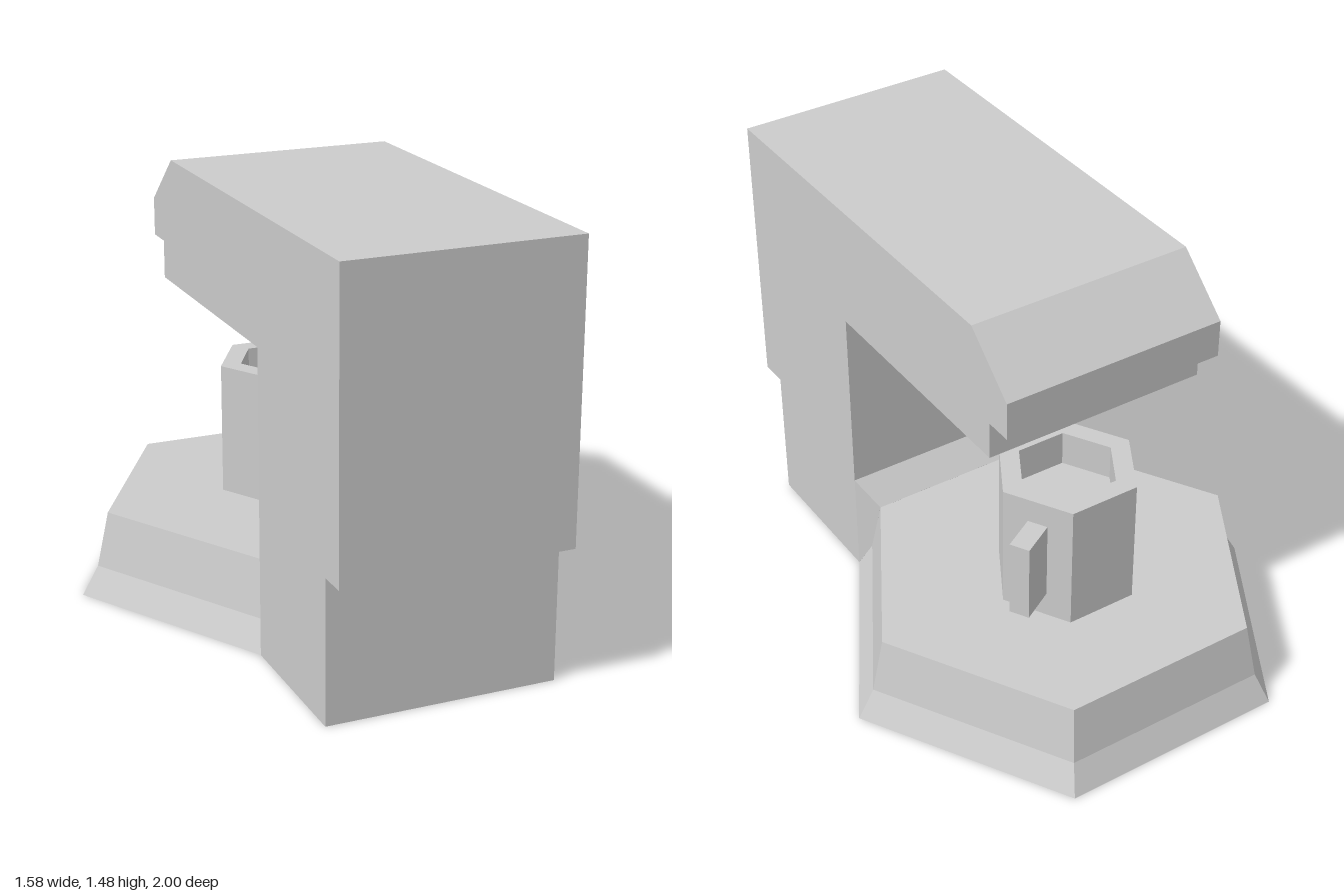
import * as THREE from 'three';
import { ConvexGeometry } from 'three/addons/geometries/ConvexGeometry.js';

const material = new THREE.MeshStandardMaterial({ color: 0xcccccc, flatShading: true });
const vec2 = ([x, y]) => new THREE.Vector2(x, y);

function add(parent, name, geometry) {
  const mesh = new THREE.Mesh(geometry, material);
  mesh.name = name;
  parent.add(mesh);
  return mesh;
}

// Six-sided turned solid with corners on the x axis
const hexLathe = (profile) => new THREE.LatheGeometry(profile.map(vec2), 6, Math.PI / 2);

export function createModel() {
  const model = new THREE.Group();
  model.name = 'coffeeMachine';
  const halfWidth = 0.394;

  // Column and overhanging head: one side profile (z, y) extruded across x
  const side = new THREE.Shape([
    [0.9, 0], [0.9, 0.49], [1, 0.49], [1, 1.48], [-0.415, 1.48], [-0.605, 1.31],
    [-0.605, 1.18], [-0.51, 1.18], [-0.51, 1.05], [0.367, 1.05], [0.367, 0],
  ].map(vec2));
  const body = new THREE.ExtrudeGeometry(side, { depth: halfWidth * 2, bevelEnabled: false });
  body.translate(0, 0, -halfWidth).rotateY(-Math.PI / 2);
  add(model, 'body', body);

  // Hexagonal base with flared foot
  const base = add(model, 'base', hexLathe([[0, 0], [0.788, 0], [0.73, 0.1], [0.688, 0.292], [0, 0.292]]));
  base.position.z = -0.316;

  // Sloped sill joining base and column
  const sill = [];
  for (const s of [-1, 1]) {
    for (const [x, y, z] of [[0.344, 0.292, 0.28], [0.365, 0.1, 0.316], [halfWidth, 0, 0.367], [halfWidth, 0.377, 0.367]]) {
      sill.push(new THREE.Vector3(s * x, y, z));
    }
  }
  add(model, 'sill', new ConvexGeometry(sill));

  // Hexagonal cup with a recess, and its handle on one face
  const cup = new THREE.Group();
  cup.name = 'cup';
  cup.position.set(0, 0.292, -0.36);
  model.add(cup);
  add(cup, 'cupBody', hexLathe([[0, 0], [0.248, 0], [0.248, 0.46], [0.174, 0.46], [0.174, 0.335], [0, 0.335]]));
  const handleGeometry = new THREE.BoxGeometry(0.15, 0.283, 0.07).translate(0.27, 0.232, 0);
  const handle = add(cup, 'cupHandle', handleGeometry);
  handle.rotation.y = Math.PI / 6;

  return model;
}
